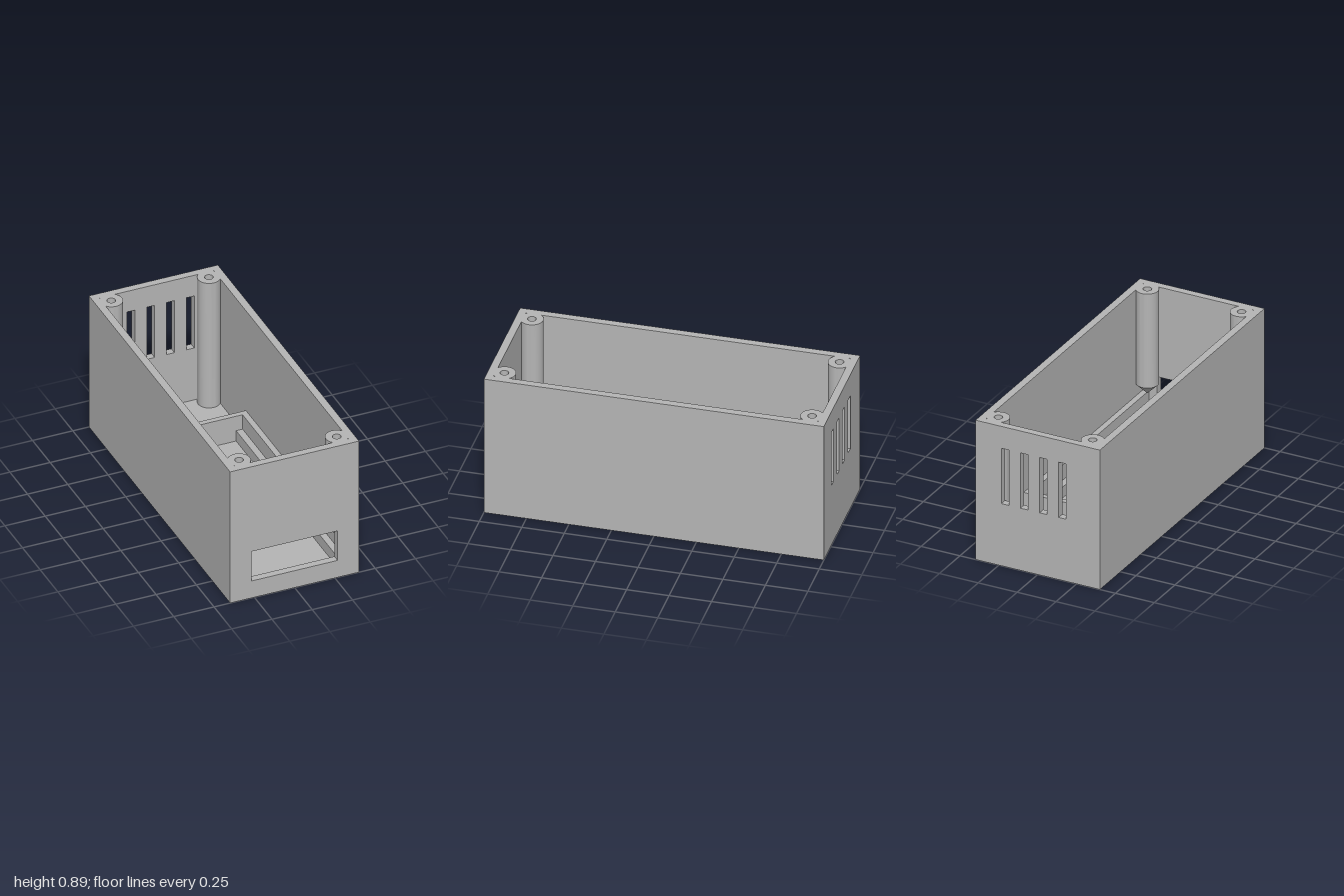
import * as THREE from 'three';
import { toCreasedNormals } from 'three/addons/utils/BufferGeometryUtils.js';

const H = 0.89, W = 0.4, L = 1, T = 0.045; // height, half width, half length, wall
const IX = W - T, IZ = L - T;              // inner half sizes
const FLOOR = 0.045;

export function createModel() {
  const group = new THREE.Group();
  const grey = new THREE.MeshStandardMaterial({ color: 0xb5b5b5 });

  const add = (name, geometry, x = 0, y = 0, z = 0) => {
    const mesh = new THREE.Mesh(geometry, grey);
    mesh.name = name;
    mesh.position.set(x, y, z);
    group.add(mesh);
    return mesh;
  };
  // box given by its limits
  const box = (name, x0, x1, y0, y1, z0, z1) =>
    add(name, new THREE.BoxGeometry(x1 - x0, y1 - y0, z1 - z0),
      (x0 + x1) / 2, (y0 + y1) / 2, (z0 + z1) / 2);
  const rect = (path, x0, x1, y0, y1) => {
    path.moveTo(x0, y0).lineTo(x1, y0).lineTo(x1, y1).lineTo(x0, y1).closePath();
    return path;
  };
  // upright panel with rectangular openings
  const panel = (openings) => {
    const shape = rect(new THREE.Shape(), -W, W, 0, H);
    openings.forEach((o) => shape.holes.push(rect(new THREE.Path(), ...o)));
    return new THREE.ExtrudeGeometry(shape, { depth: T, bevelEnabled: false });
  };
  const lathe = (points) =>
    new THREE.LatheGeometry(points.map((p) => new THREE.Vector2(...p)), 48);

  // end walls: connector window in front, four vent slots at the back
  add('frontWall', panel([[-0.267, 0.267, 0.115, 0.315]]), 0, 0, IZ);
  const slots = [];
  for (let i = 0; i < 4; i++) {
    const x = 0.186 - i * 0.123;
    slots.push([x, x + 0.048, 0.397, 0.75]);
  }
  add('backWall', panel(slots), 0, 0, -L);

  // floor with two screw holes
  const screwZ = [-0.225, 0.13];
  const floor = rect(new THREE.Shape(), -IX, IX, -IZ, IZ);
  screwZ.forEach((z) => floor.holes.push(new THREE.Path().absarc(0, -z, 0.05, 0, Math.PI * 2, true)));
  const floorGeometry = new THREE.ExtrudeGeometry(floor, { depth: FLOOR, bevelEnabled: false, curveSegments: 24 });
  add('floor', floorGeometry.rotateX(-Math.PI / 2));

  // countersunk screw bosses
  const boss = toCreasedNormals(lathe([[0.032, 0], [0.077, 0], [0.077, 0.09], [0.06, 0.09], [0.032, 0.045], [0.032, 0]]), 0.5);
  screwZ.forEach((z) => add('screwBoss', boss, 0, 0, z));

  // cross rib behind the board area
  box('crossRib', -IX, IX, FLOOR, 0.213, -0.5, -0.467);

  // corner posts: the rear ones reach the floor, the front ones end in a cone
  const top = [[0.067, H], [0.025, H], [0.025, 0.6], [0, 0.6]];
  const backPost = toCreasedNormals(lathe([[0.067, FLOOR], ...top]), 0.5);
  const cone = lathe([[0, 0.224], [0.067, 0.29], [0.067, 0.315], [0.067, 0.316], ...top]);
  // trim the front of the cone end level with the window cut
  const p = cone.attributes.position;
  for (let i = 0; i < p.count; i++) {
    if (p.getY(i) < 0.3155) p.setZ(i, Math.min(p.getZ(i), 0.03));
  }
  const frontPost = toCreasedNormals(cone, 0.5);

  for (const s of [-1, 1]) {
    const span = (a, b) => (s > 0 ? [a, b] : [-b, -a]);
    box('sideWall', ...span(IX, W), 0, H, -IZ, IZ);
    // stepped ledge for the board
    box('boardLedge', ...span(0.28, 0.32), FLOOR, 0.115, -0.467, IZ);
    box('boardGuide', ...span(0.32, IX), FLOOR, 0.213, -0.467, IZ);
    add('frontPost', frontPost, s * 0.303, 0, 0.905);
    add('backPost', backPost, s * 0.303, 0, -0.905);
  }
  return group;
}
